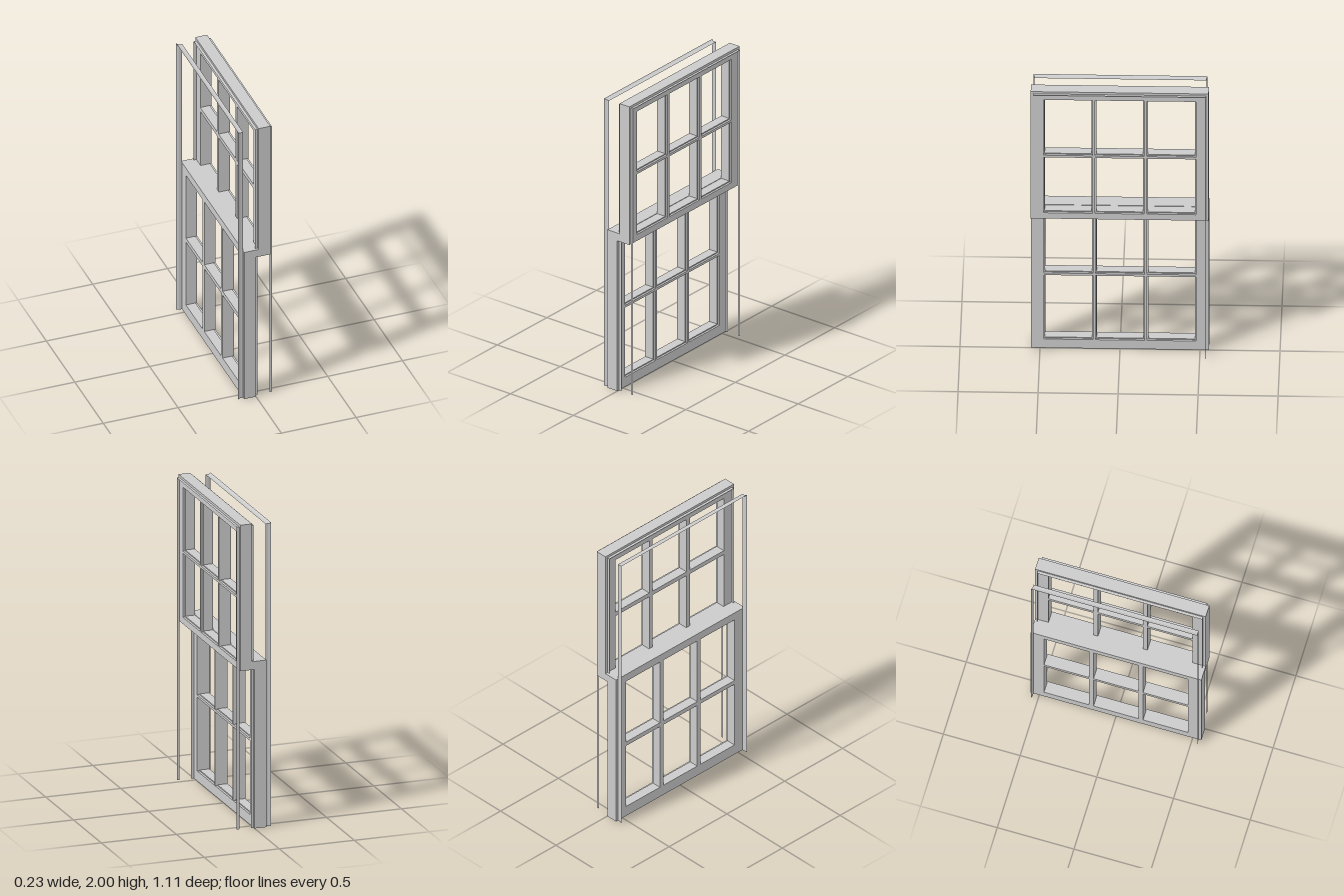
import * as THREE from 'three';

const grey = new THREE.MeshStandardMaterial({ color: 0xcccccc });
const thin = new THREE.MeshStandardMaterial({ color: 0xcccccc, side: THREE.DoubleSide, flatShading: true });
const HALF = 0.556;   // half width of a sash
const DEPTH = 0.078;  // thickness of a sash
const LIP = 0.014;    // depth of the rebate on the outer face

function rect(target, z0, z1, y0, y1) {
  target.moveTo(z0, y0);
  target.lineTo(z1, y0);
  target.lineTo(z1, y1);
  target.lineTo(z0, y1);
  target.closePath();
  return target;
}

// One layer of a sash: a board with 3 x 2 panes cut out, each grown by "grow"
function sashLayer(name, x, depth, bottom, top, open0, open1, grow) {
  const shape = rect(new THREE.Shape(), -HALF, HALF, bottom, top);
  const bar = 0.03, openHalf = 0.469;
  const w = (2 * openHalf - 2 * bar) / 3, h = (open1 - open0 - bar) / 2;
  for (let i = 0; i < 3; i++) {
    for (let j = 0; j < 2; j++) {
      const z = -openHalf + i * (w + bar), y = open0 + j * (h + bar);
      shape.holes.push(rect(new THREE.Path(), z - grow, z + w + grow, y - grow, y + h + grow));
    }
  }
  const geo = new THREE.ExtrudeGeometry(shape, { depth, bevelEnabled: false });
  geo.rotateY(Math.PI / 2);
  geo.translate(x, 0, 0);
  const mesh = new THREE.Mesh(geo, grey);
  mesh.name = name;
  return mesh;
}

function sash(name, x, bottom, top, open0, open1) {
  const group = new THREE.Group();
  group.name = name;
  group.add(
    sashLayer(name + 'Body', x, DEPTH - LIP, bottom, top, open0, open1, 0),
    sashLayer(name + 'Rebate', x + DEPTH - LIP, LIP, bottom, top, open0, open1, 0.007)
  );
  return group;
}

// Thin stop running up one jamb, across the head and down the other;
// profile points are [x, outward offset]
function stop(name, profile) {
  const pos = [], index = [];
  for (const [x, out] of profile) {
    const z = 0.538 + out, y = 1.984 + out;
    pos.push(x, 0, z, x, y, z, x, y, -z, x, 0, -z);
  }
  for (let i = 0; i < profile.length - 1; i++) {
    for (let j = 0; j < 3; j++) {
      const a = i * 4 + j, b = a + 4;
      index.push(a, a + 1, b, b, a + 1, b + 1);
    }
  }
  let geo = new THREE.BufferGeometry();
  geo.setAttribute('position', new THREE.Float32BufferAttribute(pos, 3));
  geo.setIndex(index);
  geo = geo.toNonIndexed();
  geo.computeVertexNormals();
  const mesh = new THREE.Mesh(geo, thin);
  mesh.name = name;
  return mesh;
}

export function createModel() {
  const model = new THREE.Group();
  model.name = 'sashWindow';

  // Sliding sashes, one in front of the other
  model.add(sash('upperSash', 0.017, 1.042, 2, 1.093, 1.932));
  model.add(sash('lowerSash', -0.079, 0, 1.096, 0.073, 1.042));

  // Meeting rail closing the gap between the sashes
  const rail = new THREE.Mesh(new THREE.BoxGeometry(0.018, 0.054, 2 * HALF), grey);
  rail.position.set(0.008, 1.069, 0);
  rail.name = 'meetingRail';
  model.add(rail);

  // Stops that guide the sashes
  model.add(stop('outerStop', [[0.095, 0], [0.112, 0]]));
  model.add(stop('partingStop', [[-0.001, 0], [0.017, 0]]));
  model.add(stop('innerStop', [[-0.115, 0.007], [-0.108, 0.003], [-0.098, 0], [-0.079, 0]]));

  return model;
}
